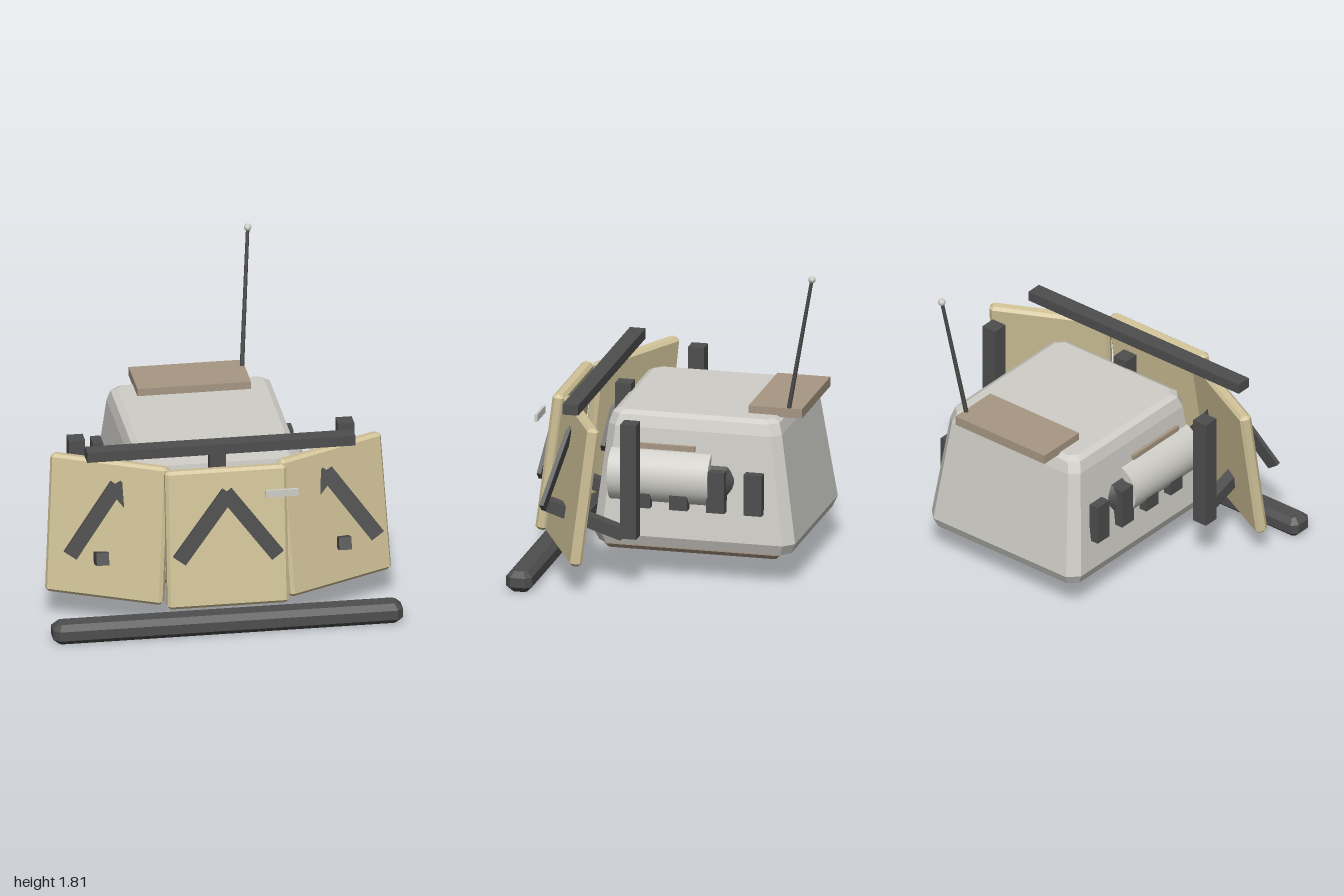
import * as THREE from 'three';

const material = (name, color) => {
  const m = new THREE.MeshStandardMaterial({ color });
  m.name = name;
  return m;
};

// Stack of chamfered rectangles, each [y, halfWidth, halfDepth, chamfer, zCentre]
function loft(rings) {
  const loops = rings.map(([y, w, d, c, z0 = 0]) => [
    [w - c, d], [w, d - c], [w, c - d], [w - c, -d],
    [c - w, -d], [-w, c - d], [-w, d - c], [c - w, d],
  ].map(([x, z]) => [x, y, z + z0]));
  const pos = [];
  const tri = (a, b, c) => pos.push(...a, ...b, ...c);
  for (let r = 0; r < loops.length - 1; r++) {
    const lo = loops[r], hi = loops[r + 1];
    for (let i = 0; i < 8; i++) {
      const j = (i + 1) % 8;
      tri(lo[i], lo[j], hi[j]);
      tri(lo[i], hi[j], hi[i]);
    }
  }
  const bottom = loops[0], top = loops[loops.length - 1];
  for (let i = 1; i < 7; i++) {
    tri(top[0], top[i], top[i + 1]);
    tri(bottom[0], bottom[i + 1], bottom[i]);
  }
  const g = new THREE.BufferGeometry();
  g.setAttribute('position', new THREE.Float32BufferAttribute(pos, 3));
  g.computeVertexNormals();
  return g;
}

// Box with every edge chamfered, centred on the origin
function chamferBox(w, h, d, c) {
  const x = w / 2, y = h / 2, z = d / 2;
  return loft([[-y, x - c, z - c, c / 2], [c - y, x, z, c], [y - c, x, z, c], [y, x - c, z - c, c / 2]]);
}

export function createModel() {
  const model = new THREE.Group();
  model.name = 'armouredPod';
  const grey = material('hull grey', 0xcfcec8);
  const tan = material('armour tan', 0xd2c499);
  const brown = material('plate brown', 0xa89884);
  const dark = material('dark trim', 0x4e4e4e);

  const add = (name, geo, mat, x = 0, y = 0, z = 0, parent = model) => {
    const m = new THREE.Mesh(geo, mat);
    m.name = name;
    m.position.set(x, y, z);
    parent.add(m);
    return m;
  };
  const box = (name, mat, w, h, d, x, y, z, parent) =>
    add(name, new THREE.BoxGeometry(w, h, d), mat, x, y, z, parent);

  // Tapered hull with base and roof plates
  add('hull', loft([
    [0.19, 0.52, 0.56, 0.05, -0.15],
    [0.25, 0.545, 0.587, 0.06, -0.15],
    [0.87, 0.475, 0.505, 0.05, -0.14],
    [0.935, 0.455, 0.485, 0.05, -0.14],
    [0.955, 0.42, 0.45, 0.04, -0.14],
  ]), grey);
  add('basePlate', loft([
    [0.145, 0.46, 0.49, 0.01, -0.13],
    [0.17, 0.48, 0.51, 0.01, -0.13],
    [0.195, 0.48, 0.51, 0.01, -0.13],
  ]), brown);
  box('roofPlate', brown, 0.65, 0.055, 0.31, 0, 0.972, -0.58);

  // Antenna leaning back
  const foot = new THREE.Vector3(0.31, 0.99, -0.655), tip = new THREE.Vector3(0.367, 1.785, -0.805);
  const mast = add('antenna', new THREE.CylinderGeometry(0.01, 0.013, foot.distanceTo(tip), 8), dark);
  mast.position.lerpVectors(foot, tip, 0.5);
  mast.quaternion.setFromUnitVectors(new THREE.Vector3(0, 1, 0), tip.clone().sub(foot).normalize());
  add('antennaTip', new THREE.SphereGeometry(0.021, 12, 8), grey, tip.x, tip.y, tip.z);

  // Side engines with nozzle, cover and vents
  for (const s of [-1, 1]) {
    const x = 0.43 * s;
    const alongZ = (top, bottom, len, sides) => new THREE.CylinderGeometry(top, bottom, len, sides).rotateX(-Math.PI / 2);
    add('engine', alongZ(0.166, 0.166, 0.585, 32), grey, x, 0.59, 0.0425);
    add('nozzle', alongZ(0.115, 0.115, 0.1, 16), dark, x, 0.59, -0.295);
    add('nozzleEnd', alongZ(0.073, 0.115, 0.045, 16), dark, x, 0.59, -0.3675);
    box('engineCover', brown, 0.15, 0.03, 0.4, x, 0.77, 0.045);
    for (let i = 0; i < 4; i++) {
      box('vent', dark, 0.06, 0.24, 0.105, 0.545 * s, 0.545, 0.14 - 0.217 * i);
    }
  }

  // Three-part front shield
  const tilt = -0.129, yaw = 0.46;
  for (const s of [-1, 0, 1]) {
    const panel = add('shieldPanel', chamferBox(0.695, 0.812, 0.07, 0.017), tan,
      0.648 * s, 0.577, s ? 0.52 : 0.733);
    panel.rotation.set(tilt, yaw * s, 0, 'YXZ');

    // Chevron, apex at the group origin
    const chevron = new THREE.Group();
    chevron.name = 'chevron';
    chevron.position.set(0.605 * s, 0.85, s ? 0.55 : 0.757);
    chevron.rotation.set(s ? -0.17 : tilt, -0.08 * s, 0, 'YXZ');
    model.add(chevron);
    for (const side of [-1, 1]) {
      const bar = box('chevronBar', dark, 0.085, 0.48, 0.025, 0.137 * side, -0.187, 0, chevron);
      bar.rotation.z = 0.645 * side;
    }

    // Upright strut and slanted arm behind each panel
    const z = s ? 0.152 : 0.38;
    box('strut', dark, 0.093, 0.675, 0.093, 0.77 * s, 0.648, z);
    const arm = box('strutArm', dark, 0.072, 0.072, s ? 0.46 : 0.32, 0.694 * s, 0.375, s ? 0.43 : 0.56);
    arm.rotation.x = -0.31;
  }
  box('shieldMarker', grey, 0.185, 0.042, 0.015, 0.307, 0.852, 0.797);

  // Top rail and front bumper
  box('topRail', dark, 1.535, 0.06, 0.092, 0, 1.033, 0.503);
  add('bumper', chamferBox(2, 0.12, 0.15, 0.032), dark, 0, 0.06, 0.75);

  return model;
}
